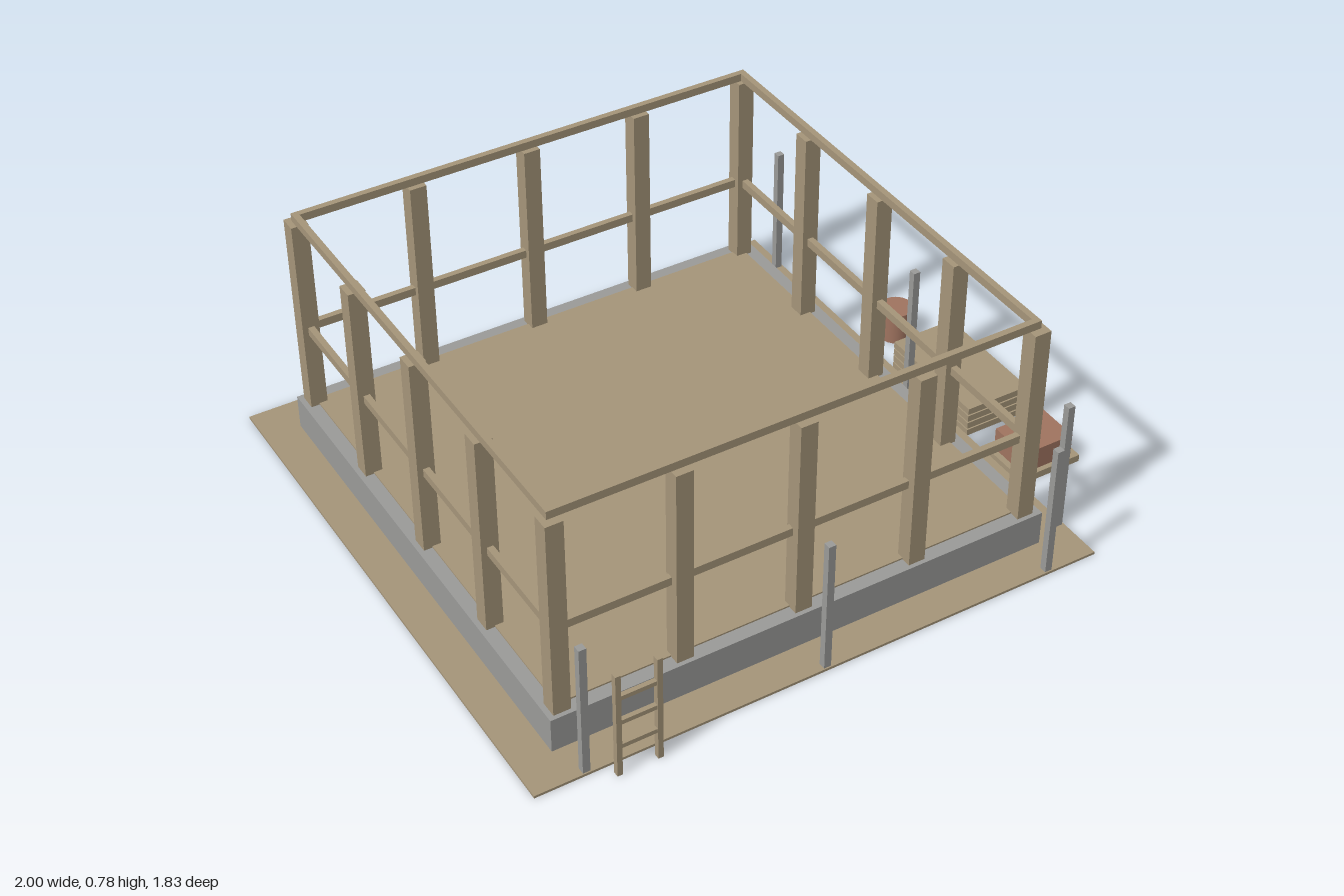
import * as THREE from 'three';

const timber = new THREE.MeshStandardMaterial({ color: 0xa6967a });
timber.name = 'timber';
const concrete = new THREE.MeshStandardMaterial({ color: 0x9b9b99 });
concrete.name = 'concrete grey';
const clay = new THREE.MeshStandardMaterial({ color: 0xa07460 });
clay.name = 'clay red';

// Box given by its extents along each axis
function box(parent, name, mat, [x0, x1], [y0, y1], [z0, z1]) {
  const mesh = new THREE.Mesh(new THREE.BoxGeometry(x1 - x0, y1 - y0, z1 - z0), mat);
  mesh.position.set((x0 + x1) / 2, (y0 + y1) / 2, (z0 + z1) / 2);
  mesh.name = name;
  parent.add(mesh);
  return mesh;
}

const around = (c, width) => [c - width / 2, c + width / 2];

// Four bars forming a rectangular ring, t thick
function ring(parent, name, mat, [x0, x1], y, [z0, z1], t) {
  const g = new THREE.Group();
  g.name = name;
  box(g, name + 'Back', mat, [x0, x1], y, [z0, z0 + t]);
  box(g, name + 'Front', mat, [x0, x1], y, [z1 - t, z1]);
  box(g, name + 'Right', mat, [x0, x0 + t], y, [z0 + t, z1 - t]);
  box(g, name + 'Left', mat, [x1 - t, x1], y, [z0 + t, z1 - t]);
  parent.add(g);
}

export function createModel() {
  const model = new THREE.Group();
  model.name = 'buildingSite';

  // Ground, foundation walls and floor deck
  box(model, 'groundPlate', timber, [-1, 0.786], [0, 0.008], [-0.92, 0.868]);
  ring(model, 'foundation', concrete, [-0.887, 0.677], [0.004, 0.118], [-0.802, 0.755], 0.055);
  box(model, 'floorDeck', timber, [-0.845, 0.635], [0.1, 0.123], [-0.76, 0.712]);

  // Wall studs, five per side with shared corners
  const frame = new THREE.Group();
  frame.name = 'wallFrame';
  model.add(frame);
  for (let i = 0; i < 5; i++) {
    for (let j = 0; j < 5; j++) {
      if (i % 4 && j % 4) continue;
      const x = -0.845 + i * 0.368, z = -0.76 + j * 0.369;
      box(frame, 'stud', timber, around(x, 0.052), [0.118, 0.754], around(z, 0.052));
    }
  }

  // Middle and top rails
  ring(frame, 'middleRail', timber, [-0.854, 0.637], [0.376, 0.402], [-0.77, 0.718], 0.019);
  ring(frame, 'topRail', timber, [-0.854, 0.637], [0.754, 0.779], [-0.77, 0.718], 0.019);

  // Steel posts along the front and the left side
  for (let i = 0; i < 3; i++) {
    const x = -0.845 + i * 0.736, z = -0.76 + i * 0.738;
    box(model, 'frontPost', concrete, around(x, 0.022), [0.004, 0.437], around(0.853, 0.022));
    box(model, 'sidePost', concrete, around(0.769, 0.022), [0.004, 0.437], around(z, 0.022));
  }

  // Ladder
  const ladder = new THREE.Group();
  ladder.name = 'ladder';
  model.add(ladder);
  for (const x of [-0.774, -0.653]) {
    box(ladder, 'ladderRail', timber, around(x, 0.016), [0, 0.35], [0.894, 0.912]);
  }
  for (const y of [0.1, 0.184, 0.269]) {
    box(ladder, 'ladderRung', timber, [-0.766, -0.661], around(y, 0.014), [0.896, 0.91]);
  }

  // Stack of boards
  for (let i = 0; i < 4; i++) {
    const y = 0.003 + i * 0.026;
    box(model, 'stackedBoard', timber, [0.787, 1], [y, y + 0.021], [-0.127, 0.258]);
  }

  // Pallet of bricks
  box(model, 'pallet', timber, [0.787, 1], [0.001, 0.024], [0.349, 0.521]);
  box(model, 'brickBlock', clay, [0.806, 0.979], [0.024, 0.097], [0.366, 0.505]);

  // Drum
  const drum = new THREE.Mesh(new THREE.CylinderGeometry(0.052, 0.052, 0.104, 24), clay);
  drum.position.set(0.892, 0.055, -0.267);
  drum.name = 'drum';
  model.add(drum);

  return model;
}
